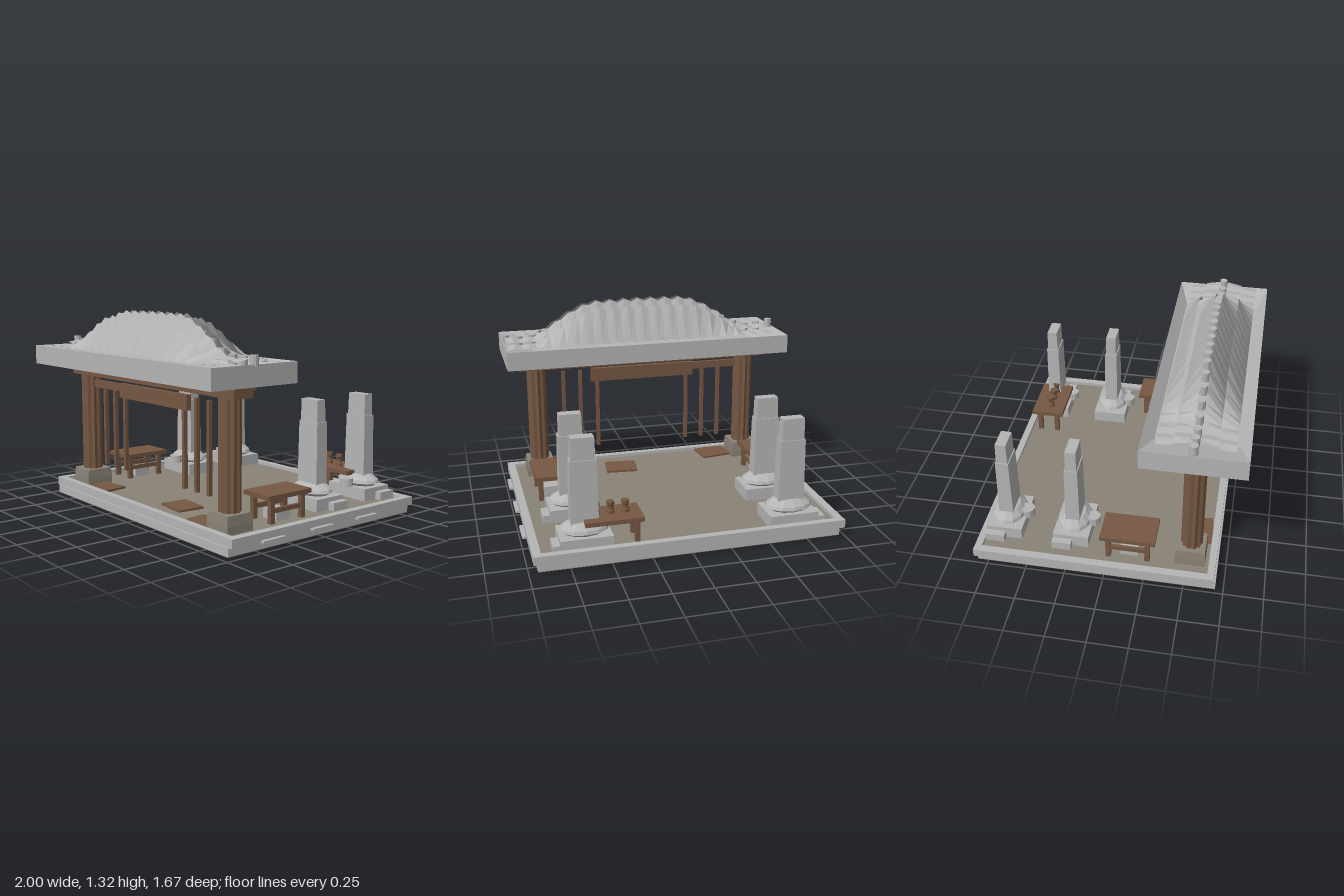
import * as THREE from 'three';

const mat = (name, color) => Object.assign(new THREE.MeshStandardMaterial({ color, flatShading: true }), { name });

// flat-faced geometry from a list of quads (four corner arrays each)
function quads(list) {
  const pos = [];
  for (const [a, b, c, d] of list) pos.push(...a, ...b, ...c, ...a, ...c, ...d);
  const g = new THREE.BufferGeometry();
  g.setAttribute('position', new THREE.Float32BufferAttribute(pos, 3));
  g.computeVertexNormals();
  return g;
}

// skin over rectangular sections [x0, x1, z0, z1, y], from the bottom up
function loft(rects, bottomCap = true, topCap = true) {
  const loops = rects.map(([x0, x1, z0, z1, y]) => [[x0, y, z0], [x0, y, z1], [x1, y, z1], [x1, y, z0]]);
  const list = [];
  for (let k = 0; k < loops.length - 1; k++)
    for (let i = 0; i < 4; i++) {
      const j = (i + 1) % 4;
      list.push([loops[k][i], loops[k][j], loops[k + 1][j], loops[k + 1][i]]);
    }
  if (bottomCap) list.push([...loops[0]].reverse());
  if (topCap) list.push(loops[loops.length - 1]);
  return quads(list);
}

// piecewise height of the arched roof crest, by distance from the middle
const CREST = [[0, 0.235], [0.34, 0.23], [0.45, 0.19], [0.57, 0.125], [0.68, 0.05], [0.78, 0.01], [0.85, 0.012], [1.05, 0.05]];
function crest(x) {
  const d = Math.abs(x - 0.01);
  for (let i = 1; i < CREST.length; i++) {
    const [a, ha] = CREST[i - 1], [b, hb] = CREST[i];
    if (d <= b) return ha + (hb - ha) * (d - a) / (b - a);
  }
  return 0.05;
}

export function createModel() {
  const stone = mat('paleStone', 0xb5b5b5);
  const tileStone = mat('roofTile', 0xb5b5b5);
  tileStone.side = THREE.DoubleSide;
  const wood = mat('brownWood', 0x765843);
  const earth = mat('earthStone', 0x8a8276);

  const root = new THREE.Group();
  const add = (name, geo, material, parent = root) => {
    const m = new THREE.Mesh(geo, material);
    m.name = name;
    parent.add(m);
    return m;
  };
  const group = (name) => {
    const g = new THREE.Group();
    g.name = name;
    root.add(g);
    return g;
  };
  // box given by its limits
  const block = (name, x0, x1, y0, y1, z0, z1, material, parent) => {
    const m = add(name, new THREE.BoxGeometry(x1 - x0, y1 - y0, z1 - z0), material, parent);
    m.position.set((x0 + x1) / 2, (y0 + y1) / 2, (z0 + z1) / 2);
    return m;
  };

  // Plinth: stepped stone rim around an earthen floor
  add('plinthRim', loft([
    [-0.97, 0.945, -0.82, 0.70, 0.004], [-0.97, 0.945, -0.82, 0.70, 0.055],
    [-1, 0.97, -0.835, 0.69, 0.055], [-1, 0.97, -0.835, 0.69, 0.108],
    [-0.95, 0.92, -0.79, 0.645, 0.108], [-0.95, 0.92, -0.79, 0.645, 0.08],
  ], false, false), stone);
  block('floor', -0.95, 0.92, 0.004, 0.085, -0.79, 0.645, earth);
  block('underside', -0.97, 0.945, 0, 0.004, -0.82, 0.70, earth);
  for (const z of [-0.38, 0.005, 0.395]) block('edgeClip', 0.95, 0.995, 0.05, 0.064, z - 0.085, z + 0.085, stone);

  // Loose paving boards near the entrance
  for (const [x, z, turn] of [[-0.57, 0.56, 0.15], [0.17, 0.44, -0.1], [0.55, 0.55, 0.1]]) {
    const board = add('pavingBoard', new THREE.BoxGeometry(0.22, 0.014, 0.18), wood);
    board.position.set(x, 0.092, z);
    board.rotation.y = turn;
  }

  // Gate pillars: fluted shafts on tapered footings
  for (const x of [-0.78, 0.75]) {
    const pillar = group('gatePillar');
    pillar.position.set(x, 0, 0.527);
    add('footing', loft([
      [-0.095, 0.095, -0.095, 0.095, 0.08], [-0.095, 0.095, -0.095, 0.095, 0.135],
      [-0.09, 0.09, -0.09, 0.09, 0.195],
    ]), earth, pillar);
    const shaft = new THREE.CylinderGeometry(0.068, 0.068, 0.69, 20);
    const p = shaft.attributes.position;
    for (let i = 0; i < p.count; i++) {
      const step = Math.round(Math.atan2(p.getX(i), p.getZ(i)) / (Math.PI / 10));
      if (step % 2) p.setXYZ(i, p.getX(i) * 0.86, p.getY(i), p.getZ(i) * 0.86);
    }
    add('shaft', shaft, wood, pillar).position.y = 0.53;
  }

  // Lintel and hanging wooden screens
  block('lintel', -0.90, 0.87, 0.86, 0.915, 0.455, 0.60, wood);
  block('lintelCap', -0.91, 0.885, 0.905, 0.937, 0.45, 0.605, wood);
  const screen = group('hangingScreen');
  block('centreRail', -0.39, 0.36, 0.735, 0.83, 0.51, 0.545, wood, screen);
  block('leftRail', -0.72, -0.38, 0.775, 0.825, 0.515, 0.54, wood, screen);
  for (const [x, top] of [[-0.588, 0.82], [-0.465, 0.82], [-0.343, 0.78], [0.317, 0.74], [0.44, 0.82], [0.56, 0.82]])
    block('slat', x - 0.012, x + 0.012, 0.247, top, 0.514, 0.54, wood, screen);

  // Roof tray: straight sides with a sunken hipped top
  add('roofTray', loft([
    [-1, 0.97, 0.215, 0.835, 0.935], [-1, 0.97, 0.215, 0.835, 1.06], [-0.8, 0.77, 0.28, 0.77, 1.0],
  ]), stone);

  // Roof tiles: two stepped rows on each side, every strip folded along its middle
  const tiles = [];
  const count = 19, x0 = -0.915, pitch = 1.87 / count;
  for (let i = 0; i < count; i++) {
    const xa = x0 + i * pitch, xm = xa + pitch / 2, xb = xa + pitch;
    for (const [zLow, zHigh, yLow, lift] of [[0.755, 0.655, 1.055, -0.025], [0.652, 0.55, 1.075, 0.005]]) {
      const corner = (x, z, high, fold) => {
        const h = crest(x);
        return [x, high ? Math.max(yLow + 0.005, 1.06 + h + lift) + fold * (0.008 + 0.06 * h) : yLow + fold * 0.01, z];
      };
      for (const side of [1, -1]) {
        const zl = side > 0 ? zLow : 1.054 - zLow, zh = side > 0 ? zHigh : 1.054 - zHigh;
        for (const [a, b, fa, fb] of [[xa, xm, 0, 1], [xm, xb, 1, 0]]) {
          const q = [corner(a, zl, false, fa), corner(b, zl, false, fb), corner(b, zh, true, fb), corner(a, zh, true, fa)];
          tiles.push(side > 0 ? q : q.reverse());
        }
      }
    }
  }
  add('roofTiles', quads(tiles), tileStone);

  // Ridge caps following the arch
  for (let i = 0; i < 22; i++) {
    const x = -0.965 + i * 0.0912;
    add('ridgeCap', new THREE.CylinderGeometry(0.026, 0.026, 0.06, 10), stone)
      .position.set(x, 1.06 + crest(x) * 0.72, 0.522);
  }

  // Four stone monuments, each with dome, tapered pier and offering bowl
  for (const [x, side] of [[-0.672, -1], [0.643, 1]])
    for (const z of [-0.675, -0.24]) {
      const m = group('monument');
      m.position.set(x, 0, z);
      block('pedestal', -0.16, 0.16, 0.08, 0.165, -0.115, 0.115, stone, m);
      block('sideStep', side * 0.18 - 0.025, side * 0.18 + 0.025, 0.08, 0.137, -0.115, 0.01, stone, m);
      const profile = [[0, 0.16], [0.12, 0.165], [0.155, 0.185], [0.145, 0.205], [0.095, 0.238], [0, 0.246]];
      add('dome', new THREE.LatheGeometry(profile.map(([r, y]) => new THREE.Vector2(r, y)), 12), stone, m)
        .scale.z = 0.72;
      add('pier', loft([
        [-0.085, 0.085, -0.046, 0.046, 0.23], [-0.08, 0.08, -0.042, 0.042, 0.63],
        [-0.073, 0.073, -0.036, 0.036, 0.63], [-0.07, 0.07, -0.034, 0.034, 0.77],
      ]), stone, m);
      add('offeringBowl', new THREE.CylinderGeometry(0.046, 0.046, 0.054, 12), stone, m).position.set(0, 0.188, 0.118);
    }

  // Tables: top, four legs and rails
  function table(name, xa, xb, za, zb, top) {
    const t = group(name);
    block('tableTop', xa, xb, top - 0.028, top, za, zb, wood, t);
    for (const x of [xa + 0.035, xb - 0.035])
      for (const z of [za + 0.05, zb - 0.05])
        block('leg', x - 0.015, x + 0.015, 0.08, top - 0.028, z - 0.016, z + 0.016, wood, t);
    return t;
  }
  for (const [xa, xb] of [[-0.91, -0.68], [0.617, 0.845]]) {
    const t = table('sideTable', xa, xb, -0.037, 0.31, 0.264);
    for (const x of [xa + 0.035, xb - 0.035]) block('rail', x - 0.01, x + 0.01, 0.148, 0.176, 0.0, 0.27, wood, t);
    const mid = (xa + xb) / 2;
    block('footStone', mid - 0.06, mid + 0.06, 0.08, 0.143, 0.085, 0.2, stone, t);
  }
  const cupTable = table('cupTable', 0.29, 0.65, -0.78, -0.557, 0.258);

  // Waisted cups on the back table
  const cup = [[0, 0.256], [0.025, 0.256], [0.025, 0.275], [0.019, 0.285], [0.019, 0.305], [0.025, 0.315], [0.025, 0.335], [0, 0.335]];
  for (const x of [0.385, 0.477, 0.567])
    add('cup', new THREE.LatheGeometry(cup.map(([r, y]) => new THREE.Vector2(r, y)), 10), wood, cupTable)
      .position.set(x, 0, -0.66);

  return root;
}
